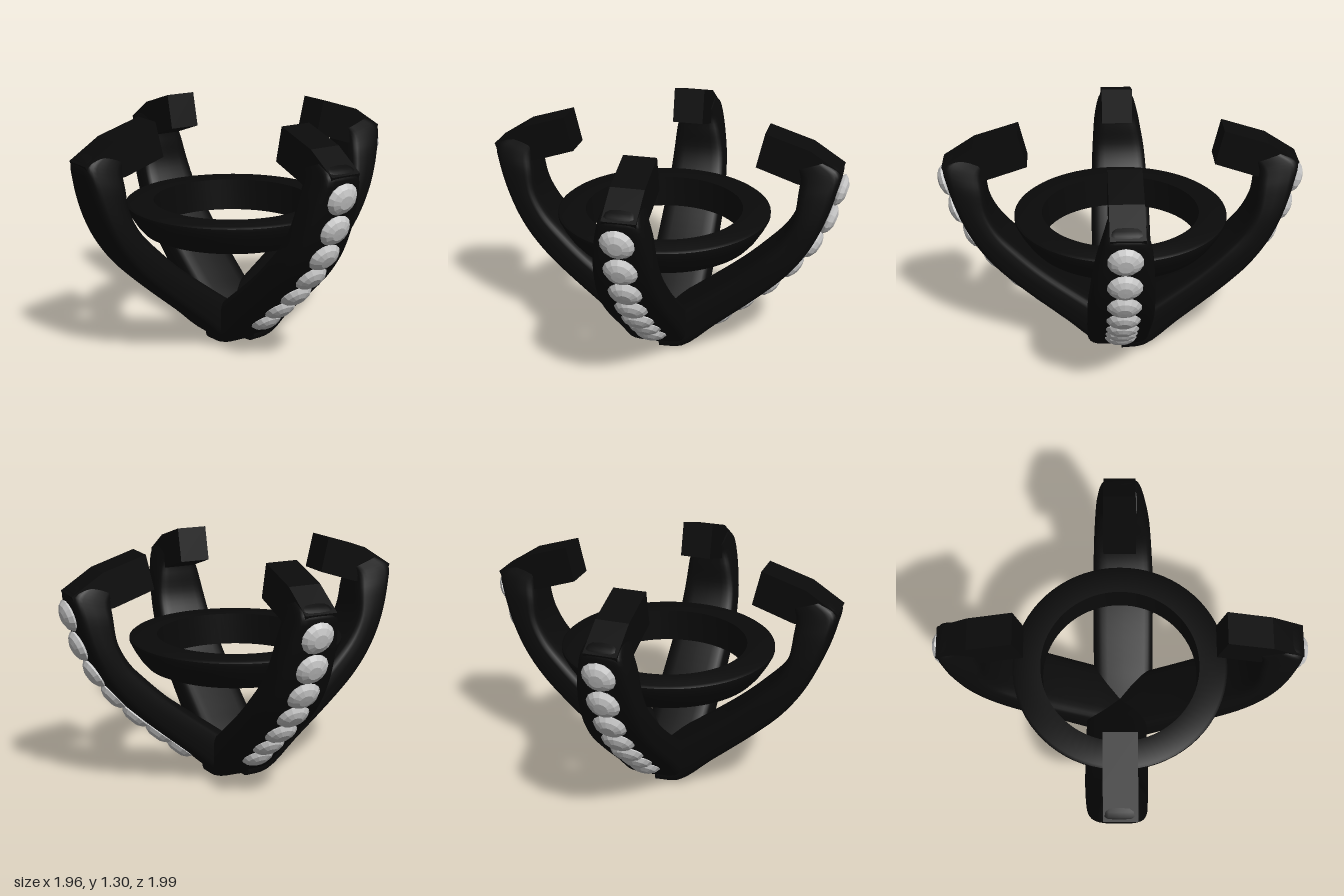
import * as THREE from 'three';
import { toCreasedNormals } from 'three/addons/utils/BufferGeometryUtils.js';

const black = new THREE.MeshStandardMaterial({ color: 0x0a0a0a });
const grey = new THREE.MeshStandardMaterial({ color: 0xcccccc, flatShading: true });

// Prong stations: outer z, outer y, inner z, inner y, half width, sideways shift
const stations = [
  [0.00, 0.012, 0.00, 0.19, 0.175, -0.02],
  [0.13, 0.025, 0.08, 0.25, 0.175, -0.02],
  [0.32, 0.185, 0.19, 0.33, 0.175, -0.02],
  [0.58, 0.41, 0.41, 0.50, 0.175, -0.02],
  [0.71, 0.54, 0.55, 0.63, 0.172, -0.02],
  [0.81, 0.68, 0.66, 0.75, 0.165, -0.018],
  [0.885, 0.84, 0.72, 0.87, 0.155, -0.015],
  [0.94, 1.02, 0.735, 0.99, 0.135, -0.008],
  [0.955, 1.13, 0.74, 1.08, 0.11, -0.005],
  [0.87, 1.185, 0.72, 1.13, 0.09, -0.005],
];

const curve = (f) => new THREE.CatmullRomCurve3(stations.map(f), false, 'centripetal');

// Loft a soft rectangular section along the stations
function prongGeometry() {
  const outer = curve((s) => new THREE.Vector3(0, s[1], s[0]));
  const inner = curve((s) => new THREE.Vector3(0, s[3], s[2]));
  const size = new THREE.CatmullRomCurve3(stations.map((s, i) => new THREE.Vector3(s[4], s[5], i)));
  const N = 36, M = 28, pos = [], idx = [];
  const soft = (v) => Math.sign(v) * Math.pow(Math.abs(v), 0.42);
  for (let i = 0; i <= N; i++) {
    const t = i / N, o = outer.getPoint(t), n = inner.getPoint(t), w = size.getPoint(t);
    for (let j = 0; j < M; j++) {
      const a = (j / M) * Math.PI * 2;
      const p = n.clone().lerp(o, 0.5 + 0.5 * soft(Math.sin(a)));
      pos.push(w.y + w.x * soft(Math.cos(a)), p.y, p.z);
      if (i < N) {
        const k = (j + 1) % M, A = i * M + j, B = i * M + k;
        idx.push(A, A + M, B + M, A, B + M, B);
      }
    }
  }
  // end caps
  for (let j = 1; j < M - 1; j++) {
    idx.push(0, j, j + 1, N * M, N * M + j + 1, N * M + j);
  }
  const g = new THREE.BufferGeometry();
  g.setAttribute('position', new THREE.Float32BufferAttribute(pos, 3));
  g.setIndex(idx);
  return toCreasedNormals(g, 0.7);
}

// Claw block that points inward over the stone seat
function clawGeometry() {
  const shape = new THREE.Shape([
    [0.55, 1.315], [0.505, 1.125], [0.73, 1.05], [0.92, 1.03], [0.96, 1.13], [0.79, 1.24],
  ].map(([z, y]) => new THREE.Vector2(z, y)));
  const g = new THREE.ExtrudeGeometry(shape, { depth: 0.175, bevelEnabled: false });
  g.translate(0, 0, -0.0875);
  g.rotateY(-Math.PI / 2);
  return g;
}

function gemGeometry() {
  const profile = [[0, -0.04], [0.08, -0.012], [0.09, 0], [0.07, 0.022], [0.038, 0.036], [0, 0.037]];
  return new THREE.LatheGeometry(profile.map(([r, y]) => new THREE.Vector2(r, y)), 14);
}

export function createModel() {
  const model = new THREE.Group();
  model.name = 'stoneSetting';
  const add = (parent, name, geo, mat = black) => {
    const m = new THREE.Mesh(geo, mat);
    m.name = name;
    parent.add(m);
    return m;
  };

  // Gem row follows the outer face of a prong
  const gemPath = new THREE.CatmullRomCurve3([
    [0.33, 0.19], [0.455, 0.295], [0.59, 0.41], [0.715, 0.54], [0.82, 0.68], [0.90, 0.84], [0.95, 1.01],
  ].map(([z, y]) => new THREE.Vector3(-0.012, y, z)));

  const prongGeo = prongGeometry(), clawGeo = clawGeometry(), gemGeo = gemGeometry();
  const up = new THREE.Vector3(0, 1, 0);
  ['front', 'left', 'back', 'right'].forEach((side, i) => {
    const arm = new THREE.Group();
    arm.name = side + 'Prong';
    arm.rotation.y = (i * Math.PI) / 2;
    arm.position.x = -0.02;
    model.add(arm);
    add(arm, side + 'Arm', prongGeo);
    add(arm, side + 'Claw', clawGeo);
    if (side === 'right') return; // this prong is plain
    for (let k = 0; k < 7; k++) {
      const t = gemPath.getTangent(k / 6);
      const gem = add(arm, side + 'Gem' + (k + 1), gemGeo, grey);
      gem.position.copy(gemPath.getPoint(k / 6));
      gem.quaternion.setFromUnitVectors(up, new THREE.Vector3(0, -t.z, t.y).normalize());
    }
  });

  // Seat ring: flat top, upright bore, curved underside
  const ringProfile = [
    [0.435, 0.81], [0.43, 0.63], [0.46, 0.63], [0.495, 0.645], [0.53, 0.685],
    [0.565, 0.74], [0.588, 0.785], [0.588, 0.80], [0.575, 0.81], [0.435, 0.81],
  ].map(([r, y]) => new THREE.Vector2(r, y));
  const ring = add(model, 'seatRing', toCreasedNormals(new THREE.LatheGeometry(ringProfile, 72), 0.7));
  ring.position.x = -0.033;

  return model;
}
